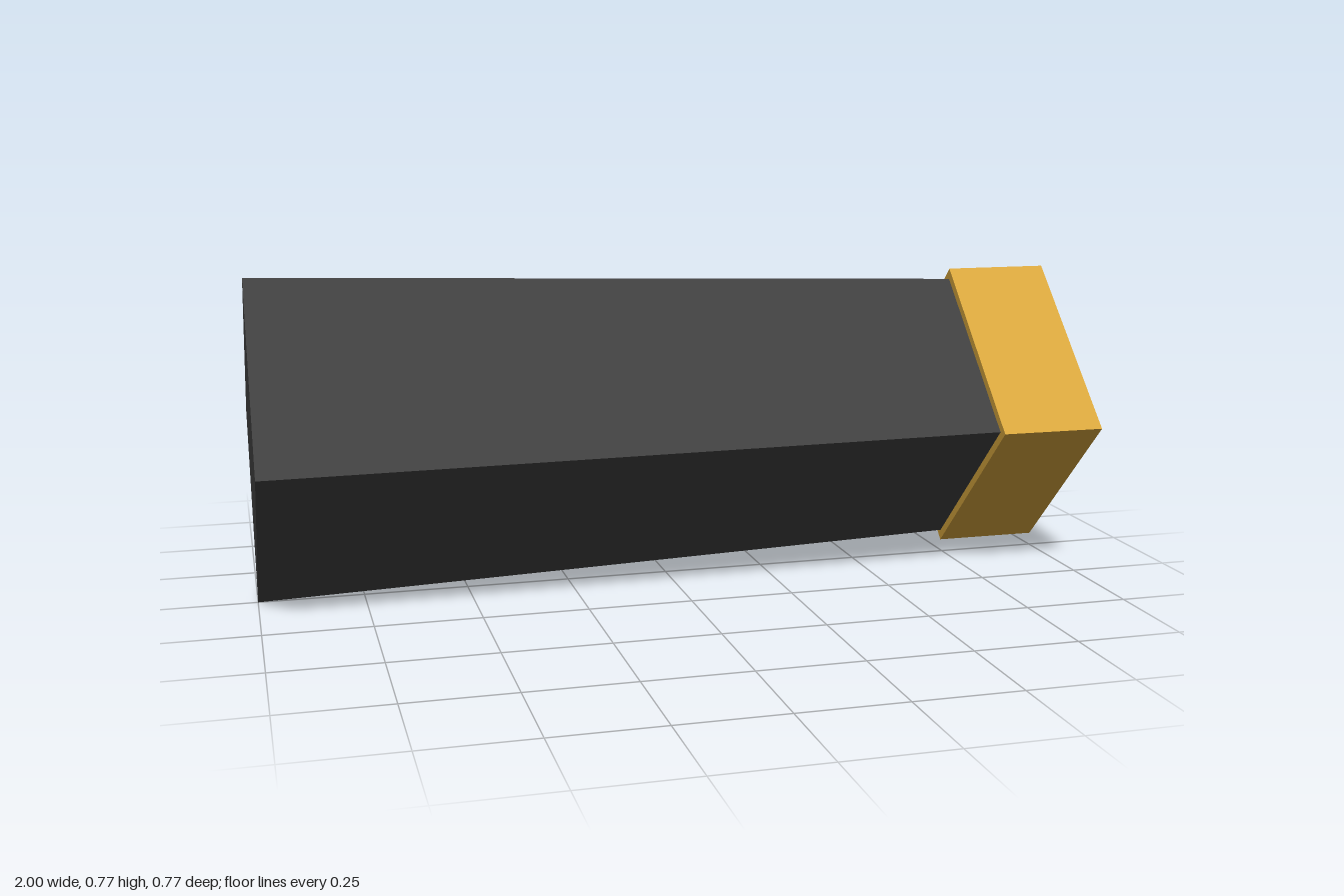
import * as THREE from 'three';

const CENTRE_Y = 0.387;

// Square prism lying along x, with its edges pointing up, down, front and back
function squareBar(name, x0, x1, r0, r1, material) {
  const geometry = new THREE.CylinderGeometry(r1, r0, x1 - x0, 4).toNonIndexed();
  geometry.rotateZ(-Math.PI / 2);
  geometry.computeVertexNormals();
  const mesh = new THREE.Mesh(geometry, material);
  mesh.name = name;
  mesh.position.set((x0 + x1) / 2, CENTRE_Y, 0);
  return mesh;
}

export function createModel() {
  const darkGrey = new THREE.MeshStandardMaterial({ color: 0x3f3f3f, flatShading: true });
  darkGrey.name = 'darkGrey';
  const gold = new THREE.MeshStandardMaterial({ color: 0xd8a63d, flatShading: true });
  gold.name = 'gold';

  const model = new THREE.Group();
  model.name = 'taperedBar';
  // Tapered shaft, its narrow end seated inside the collar
  model.add(squareBar('shaft', -1, 0.87, 0.387, 0.326, darkGrey));
  // Straight end collar
  model.add(squareBar('endCollar', 0.745, 1, 0.356, 0.356, gold));
  return model;
}
